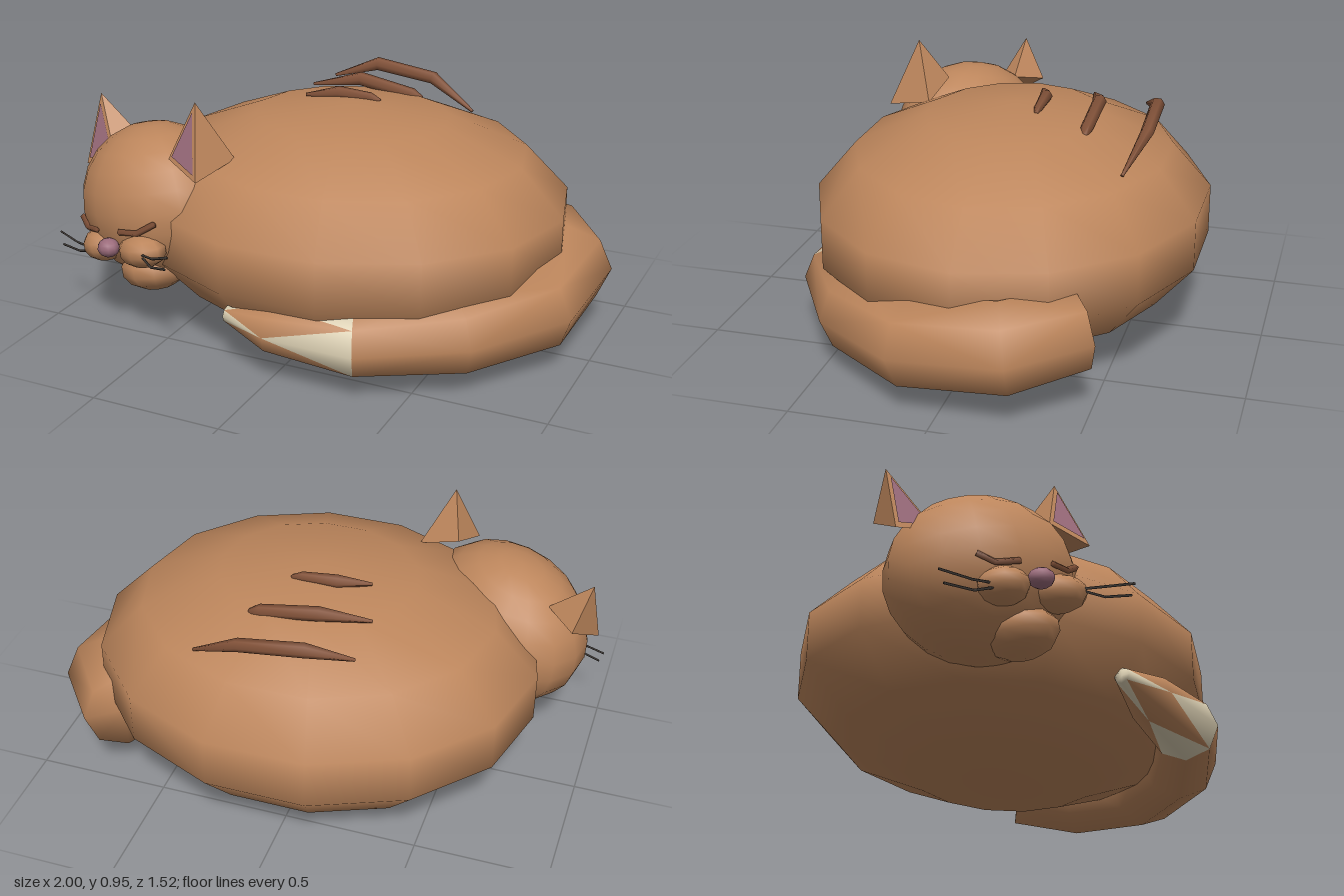
import * as THREE from 'three';

const mat = (name, color) => {
  const m = new THREE.MeshStandardMaterial({ color });
  m.name = name;
  return m;
};

// Tapered tube through [x, y, z, radius] points; the last tipSegs segments carry a zigzag second colour
function sweep(points, sides, tipSegs = 0) {
  const pos = [], main = [], tip = [];
  const P = points.map(p => new THREE.Vector3(p[0], p[1], p[2]));
  const n = P.length, up = new THREE.Vector3(0, 1, 0);
  P.forEach((c, i) => {
    const t = P[Math.min(i + 1, n - 1)].clone().sub(P[Math.max(i - 1, 0)]).normalize();
    const out = up.clone().cross(t).normalize();
    const rise = t.clone().cross(out);
    for (let k = 0; k < sides; k++) {
      const a = (k / sides) * Math.PI * 2, r = points[i][3];
      const v = c.clone().addScaledVector(out, r * Math.cos(a)).addScaledVector(rise, r * Math.sin(a));
      pos.push(v.x, v.y, v.z);
    }
  });
  for (let i = 0; i < n - 1; i++) {
    const zone = i - (n - 1 - tipSegs);
    for (let k = 0; k < sides; k++) {
      const k2 = (k + 1) % sides;
      const a = i * sides + k, a2 = i * sides + k2, b = a + sides, b2 = a2 + sides;
      const flip = (k + i) % 2 === 0;
      const t1 = flip ? [a, a2, b] : [a, a2, b2];
      const t2 = flip ? [a2, b2, b] : [a, b2, b];
      (zone === 0 ? tip : main).push(...t1);
      (zone === 1 ? tip : main).push(...t2);
    }
  }
  // end caps
  const first = n * sides, last = first + 1, row = (n - 1) * sides;
  pos.push(...P[0].toArray(), ...P[n - 1].toArray());
  for (let k = 0; k < sides; k++) {
    const k2 = (k + 1) % sides;
    main.push(first, k2, k);
    (tipSegs ? tip : main).push(last, row + k, row + k2);
  }
  const g = new THREE.BufferGeometry();
  g.setAttribute('position', new THREE.Float32BufferAttribute(pos, 3));
  g.setIndex([...main, ...tip]);
  g.addGroup(0, main.length, 0);
  if (tipSegs) g.addGroup(main.length, tip.length, 1);
  g.computeVertexNormals();
  return g;
}

// Flat-faced triangles from a list of Vector3 corners
function facets(corners) {
  const g = new THREE.BufferGeometry().setFromPoints(corners);
  g.computeVertexNormals();
  return g;
}

export function createModel() {
  const root = new THREE.Group();
  const fur = mat('fur', 0xbd865c);
  const dark = mat('darkFur', 0x825239);
  const cream = mat('cream', 0xdbcfb2);
  const pink = mat('mauve', 0x9c6c7c);
  const whiskerMat = mat('whiskerGrey', 0x403a36);

  const add = (name, geo, material) => {
    const m = new THREE.Mesh(geo, material);
    m.name = name;
    root.add(m);
    return m;
  };
  const YAW = -0.46, ROLL = 0.22;
  const ball = (name, material, c, s, w, h, turned = true) => {
    const m = add(name, new THREE.SphereGeometry(1, w, h), material);
    m.position.set(...c);
    m.scale.set(...s);
    if (turned) m.rotation.set(0, YAW, ROLL);
    return m;
  };

  // curled body and head
  ball('body', fur, [0.02, 0.43, -0.04], [0.8615, 0.426, 0.757], 14, 7, false);
  const head = ball('head', fur, [-0.615, 0.49, 0.32], [0.35, 0.3, 0.28], 16, 12);
  ball('chin', fur, [-0.57, 0.275, 0.45], [0.14, 0.09, 0.13], 10, 7);

  // muzzle and nose
  ball('muzzleRight', fur, [-0.75, 0.355, 0.51], [0.095, 0.065, 0.08], 10, 7);
  ball('muzzleLeft', fur, [-0.54, 0.395, 0.58], [0.115, 0.065, 0.08], 10, 7);
  ball('nose', pink, [-0.67, 0.39, 0.605], [0.048, 0.036, 0.04], 10, 8);

  // closed eyes laid on the face
  head.updateMatrixWorld();
  const inv = head.matrixWorld.clone().invert();
  const unit = new THREE.Sphere(new THREE.Vector3(), 1);
  const onHead = (x, y) => {
    const ray = new THREE.Ray(new THREE.Vector3(x, y, 2), new THREE.Vector3(0, 0, -1)).applyMatrix4(inv);
    const hit = ray.intersectSphere(unit, new THREE.Vector3());
    return hit ? hit.applyMatrix4(head.matrixWorld).z : 0.3;
  };
  const eyes = {
    eyeRight: [[-0.86, 0.437], [-0.81, 0.413], [-0.74, 0.435]],
    eyeLeft: [[-0.615, 0.465], [-0.535, 0.475], [-0.465, 0.52]],
  };
  for (const [name, line] of Object.entries(eyes)) {
    add(name, sweep(line.map(([x, y]) => [x, y, onHead(x, y) + 0.006, 0.012]), 4), dark);
  }

  // whiskers
  [
    [[-0.8, 0.335, 0.53], [-0.89, 0.325, 0.49], [-1.0, 0.33, 0.44]],
    [[-0.8, 0.325, 0.53], [-0.88, 0.29, 0.49], [-0.985, 0.283, 0.45]],
    [[-0.5, 0.41, 0.65], [-0.41, 0.44, 0.72], [-0.325, 0.475, 0.755]],
    [[-0.5, 0.405, 0.65], [-0.43, 0.395, 0.7], [-0.34, 0.425, 0.75]],
  ].forEach((pts, i) => add('whisker' + (i + 1), sweep(pts.map(p => [...p, 0.005]), 4), whiskerMat));

  // ears: four-sided pyramids with a thin coloured lining; base runs back, left, front left, front right
  const ears = {
    earLeft: [[-0.365, 0.95, 0.46], [-0.41, 0.79, 0.35], [-0.25, 0.73, 0.385], [-0.31, 0.69, 0.57], [-0.46, 0.735, 0.5]],
    earRight: [[-0.96, 0.82, 0.17], [-0.91, 0.66, 0.08], [-0.8, 0.69, 0.18], [-0.83, 0.6, 0.29], [-0.99, 0.55, 0.25]],
  };
  for (const [name, pts] of Object.entries(ears)) {
    const [apex, ...base] = pts.map(p => new THREE.Vector3(...p));
    const tris = [];
    base.forEach((c, i) => tris.push(apex, base[(i + 1) % 4], c));
    tris.push(base[0], base[1], base[2], base[0], base[2], base[3]);
    add(name, facets(tris), fur);
    const face = new THREE.Triangle(apex, base[3], base[2]);
    const mid = face.getMidpoint(new THREE.Vector3());
    const normal = face.getNormal(new THREE.Vector3());
    const lining = [apex, base[3], base[2]].map(v => v.clone().lerp(mid, 0.22).addScaledVector(normal, 0.004));
    add(name + 'Lining', facets(lining), pink);
  }

  // tail wrapped round the side, with a zigzag pale tip
  add('tail', sweep([
    [0.67, 0.29, -0.43, 0.155], [0.83, 0.265, -0.22, 0.17], [0.81, 0.23, 0.1, 0.165], [0.61, 0.21, 0.38, 0.15],
    [0.31, 0.2, 0.575, 0.125], [0, 0.205, 0.605, 0.09], [-0.18, 0.225, 0.605, 0.03],
  ], 8, 2), [fur, cream]);

  // back stripes
  [
    [[-0.26, 0.8, -0.49, 0.006], [-0.1, 0.85, -0.555, 0.027], [0.14, 0.82, -0.56, 0.025], [0.33, 0.72, -0.51, 0.006]],
    [[-0.26, 0.82, -0.285, 0.006], [-0.08, 0.85, -0.34, 0.027], [0.14, 0.815, -0.34, 0.024], [0.18, 0.8, -0.34, 0.012]],
    [[-0.2, 0.84, -0.095, 0.006], [-0.08, 0.853, -0.135, 0.025], [0.05, 0.85, -0.14, 0.018], [0.09, 0.84, -0.14, 0.008]],
  ].forEach((pts, i) => add('backStripe' + (i + 1), sweep(pts, 6), dark));

  return root;
}
